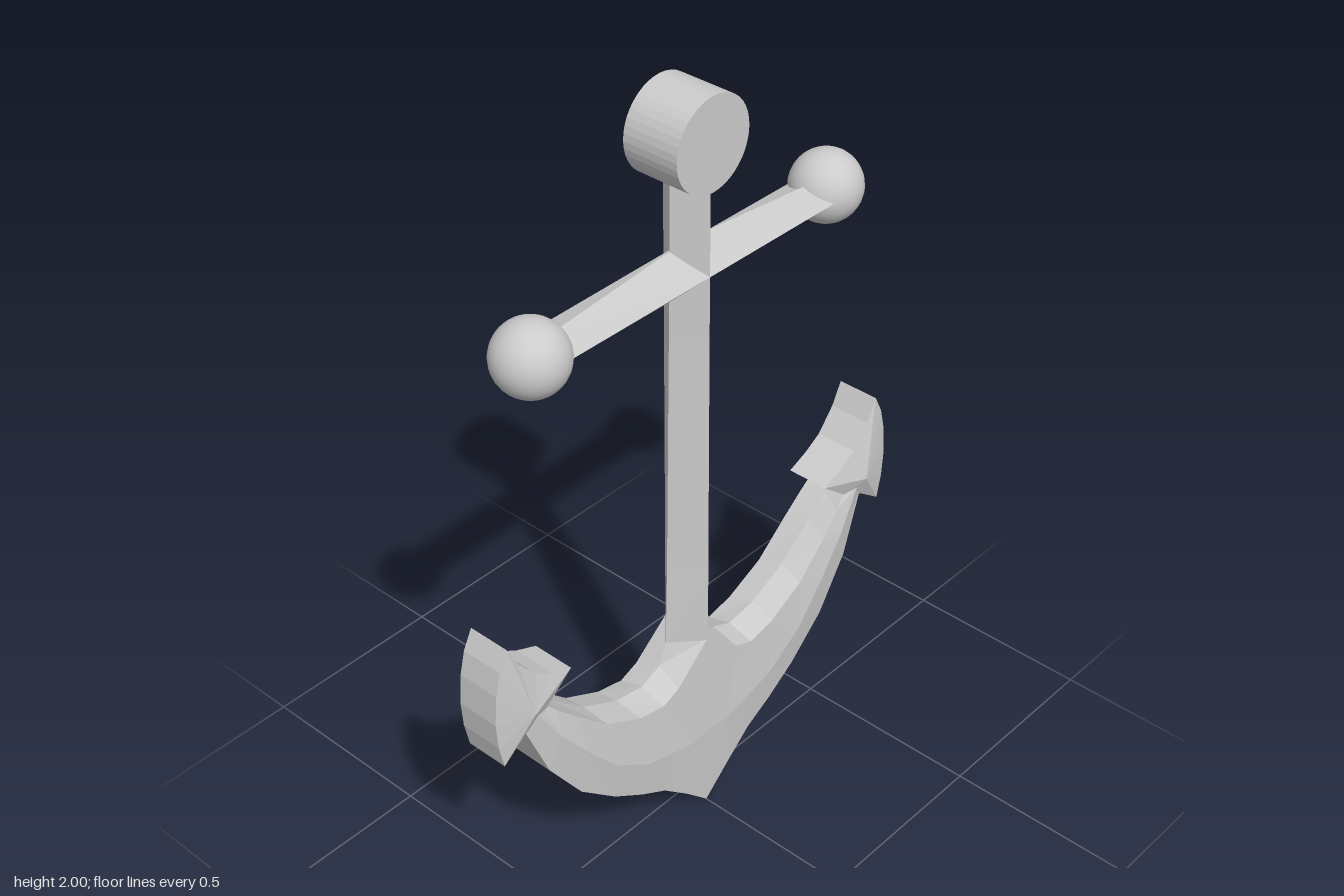
import * as THREE from 'three';

const flat = new THREE.MeshStandardMaterial({ color: 0xcccccc, flatShading: true });
const smooth = new THREE.MeshStandardMaterial({ color: 0xcccccc });

function add(group, name, geometry, material, x = 0, y = 0, z = 0) {
  const mesh = new THREE.Mesh(geometry, material);
  mesh.name = name;
  mesh.position.set(x, y, z);
  group.add(mesh);
  return mesh;
}

// Skin a row of rings (counter-clockwise about the travel direction).
// Each end is closed with a fan to its apex, or to the ring's centre.
function loft(rings, startApex, endApex) {
  const out = [];
  const n = rings[0].length;
  const centre = (r) => [0, 1, 2].map((k) => r.reduce((s, p) => s + p[k], 0) / n);
  const first = rings[0];
  const last = rings[rings.length - 1];
  const a0 = startApex || centre(first);
  const a1 = endApex || centre(last);
  for (let i = 0; i < n; i++) {
    const j = (i + 1) % n;
    for (let r = 0; r < rings.length - 1; r++) {
      const a = rings[r];
      const b = rings[r + 1];
      out.push(...a[i], ...a[j], ...b[j], ...a[i], ...b[j], ...b[i]);
    }
    out.push(...a0, ...first[j], ...first[i], ...a1, ...last[i], ...last[j]);
  }
  const g = new THREE.BufferGeometry();
  g.setAttribute('position', new THREE.Float32BufferAttribute(out, 3));
  g.computeVertexNormals();
  return g;
}

export function createModel() {
  const anchor = new THREE.Group();
  anchor.name = 'anchor';
  const barY = 1.563;

  // Round head, axis front to back
  const disc = new THREE.CylinderGeometry(0.113, 0.113, 0.15, 40).rotateX(Math.PI / 2);
  add(anchor, 'head', disc, flat, 0, 1.887, 0);

  // Diamond-section shank, flaring into the crown: [y, half width, half depth]
  const shank = [
    [0.4, 0.125, 0.06], [0.45, 0.108, 0.066], [0.535, 0.075, 0.07],
    [0.75, 0.069, 0.069], [1.4, 0.058, 0.068], [1.83, 0.052, 0.068],
  ].map(([y, w, d]) => [[0, y, d], [w, y, 0], [0, y, -d], [-w, y, 0]]);
  add(anchor, 'shank', loft(shank), flat);

  // Diamond-section crossbar, tapering in height towards the balls
  const bar = [[-0.45, 0.025], [0, 0.066], [0.45, 0.025]].map(([x, h]) => [
    [x, barY + h, 0], [x, barY, 0.068], [x, barY - h, 0], [x, barY, -0.068],
  ]);
  add(anchor, 'crossbar', loft(bar), flat);

  // Curved arms: [inner ridge, inner edge, face crease, outer edge, edge depth, crease depth]
  const stations = [
    [[0, 0.56], [0, 0.54], [0, 0.255], [0, 0], 0.068, 0.08],
    [[0.1, 0.475], [0.105, 0.45], [0.06, 0.245], [0.08, 0.078], 0.07, 0.08],
    [[0.16, 0.45], [0.16, 0.428], [0.14, 0.265], [0.157, 0.145], 0.07, 0.08],
    [[0.25, 0.465], [0.24, 0.445], [0.225, 0.29], [0.24, 0.192], 0.07, 0.08],
    [[0.36, 0.52], [0.35, 0.5], [0.335, 0.365], [0.33, 0.25], 0.068, 0.08],
    [[0.46, 0.605], [0.44, 0.583], [0.425, 0.47], [0.44, 0.345], 0.065, 0.078],
    [[0.52, 0.66], [0.5, 0.642], [0.505, 0.575], [0.535, 0.48], 0.06, 0.074],
    [[0.57, 0.71], [0.55, 0.695], [0.57, 0.68], [0.603, 0.65], 0.052, 0.066],
  ];
  const section = (s, side) => {
    const [ridge, edge, crease, outer, e, c] = s;
    const at = (p, z) => [p[0] * side, p[1], z];
    return [at(ridge, 0), at(edge, e), at(crease, c), at(outer, e),
      at(outer, -e), at(crease, -c), at(edge, -e)];
  };
  const arms = [
    ...stations.slice(1).reverse().map((s) => section(s, -1)),
    ...stations.map((s) => section(s, 1)),
  ];
  add(anchor, 'arms', loft(arms), flat);

  // Barbed fluke outline, raised to a peak on the front and back faces
  const outline = [
    [0.668, 0.585], [0.682, 0.65], [0.687, 0.72], [0.68, 0.8], [0.665, 0.86],
    [0.64, 0.91], [0.61, 0.85], [0.56, 0.79], [0.51, 0.76], [0.45, 0.735],
    [0.53, 0.67], [0.6, 0.635],
  ];
  for (const side of [1, -1]) {
    const name = side > 0 ? 'left' : 'right';
    const ring = (z) => {
      const pts = outline.map(([x, y]) => [x * side, y, z]);
      return side > 0 ? pts : pts.reverse();
    };
    const peak = (z) => [0.588 * side, 0.7, z];
    const fluke = loft([ring(-0.056), ring(0.056)], peak(-0.08), peak(0.08));
    add(anchor, name + 'Fluke', fluke, flat);

    // Ball on the end of the crossbar
    add(anchor, name + 'Ball', new THREE.SphereGeometry(0.089, 32, 20), smooth, 0.476 * side, barY, 0);
  }
  return anchor;
}
